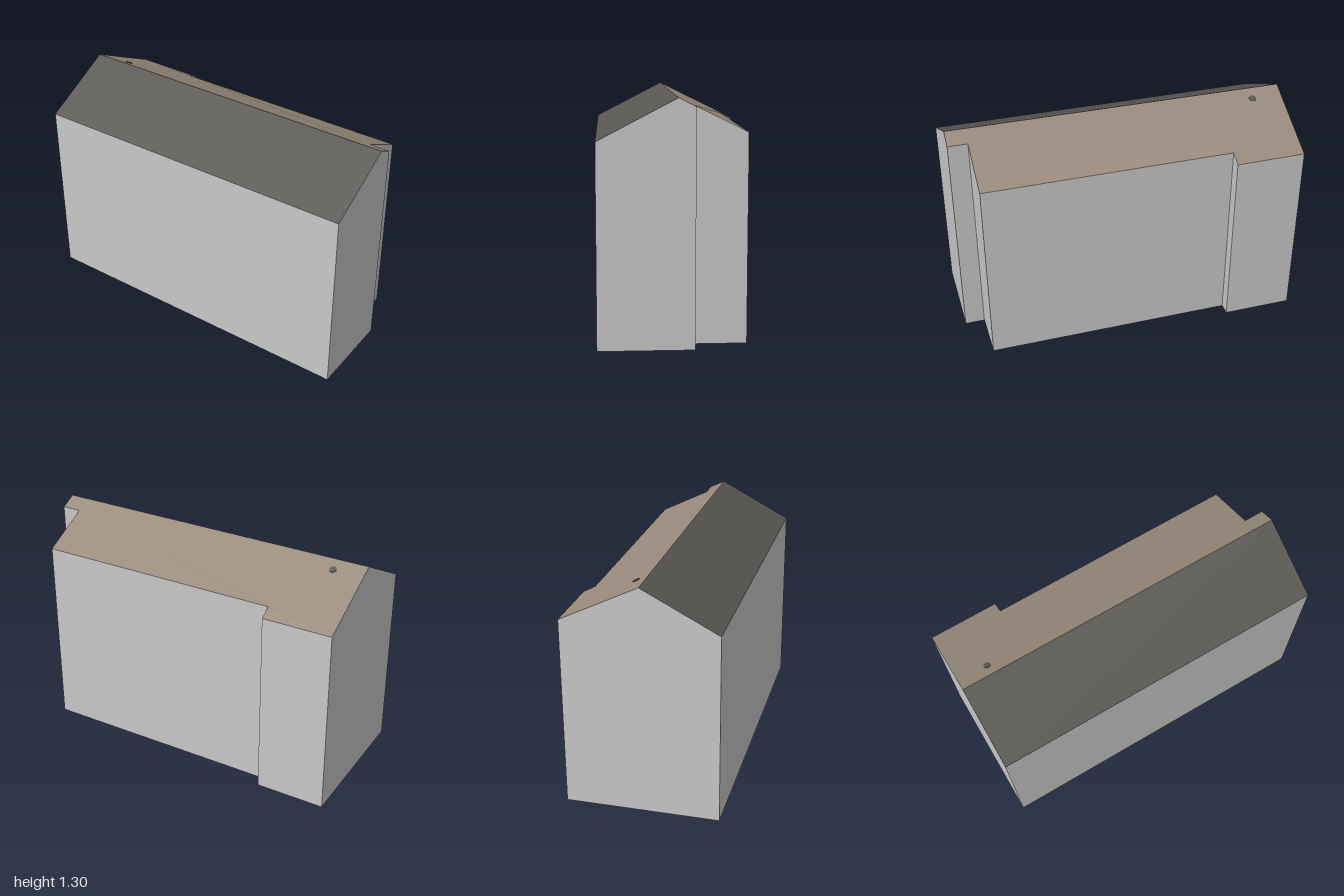
import * as THREE from 'three';

// Footprint corners with eave or ridge height: [x, height, z], anticlockwise from above
const backLeft = [-0.455, 1.076, -0.945], frontLeft = [-0.33, 1.085, 1.0];
const ridgeFront = [0.09, 1.305, 0.971], ridgeBack = [-0.032, 1.296, -0.972];
const rightEave = [
  [0.18, 1.26, 0.965], [0.172, 1.26, 0.852], [0.453, 1.12, 0.832],
  [0.36, 1.117, -0.595], [0.429, 1.08, -0.6], [0.402, 1.08, -1.0],
];
const outline = [backLeft, frontLeft, ridgeFront, ...rightEave, ridgeBack];

// Triangulates a polygon in plan; faces up, or down when flipped
function planFaces(points, flip = false) {
  const contour = points.map(([x, , z]) => new THREE.Vector2(x, -z));
  return THREE.ShapeUtils.triangulateShape(contour, [])
    .flatMap(([a, b, c]) => (flip ? [a, c, b] : [a, b, c]).map((i) => points[i]));
}

function facesMesh(name, corners, material) {
  const geometry = new THREE.BufferGeometry();
  geometry.setAttribute('position', new THREE.Float32BufferAttribute(corners.flat(), 3));
  geometry.computeVertexNormals();
  const mesh = new THREE.Mesh(geometry, material);
  mesh.name = name;
  return mesh;
}

export function createModel() {
  const paint = (name, color) => {
    const material = new THREE.MeshStandardMaterial({ color });
    material.name = name;
    return material;
  };
  const wallGrey = paint('wall grey', 0xc8c8c8);
  const slateGrey = paint('dark slate', 0x595754);
  const tileBrown = paint('brown tile', 0x998b7c);

  const house = new THREE.Group();
  house.name = 'house';
  const ground = ([x, , z]) => [x, 0, z];

  // Walls run from the ground to the roof, including both gables
  const walls = outline.flatMap((p, i) => {
    const q = outline[(i + 1) % outline.length];
    return [ground(p), ground(q), q, ground(p), q, p];
  });
  house.add(facesMesh('walls', walls, wallGrey));
  house.add(facesMesh('floor', planFaces(outline.map(ground), true), wallGrey));

  // Two roof slopes
  house.add(facesMesh('rightRoof', planFaces([backLeft, frontLeft, ridgeFront, ridgeBack]), slateGrey));
  house.add(facesMesh('leftRoof', planFaces([ridgeFront, ...rightEave, ridgeBack]), tileBrown));

  // Small flue cap lying on the brown slope
  const cap = new THREE.Mesh(new THREE.CylinderGeometry(0.02, 0.02, 0.006, 12), slateGrey);
  cap.name = 'flueCap';
  cap.position.set(0.045, 1.264, -0.8);
  cap.rotation.z = -Math.atan(0.5);
  house.add(cap);

  return house;
}
